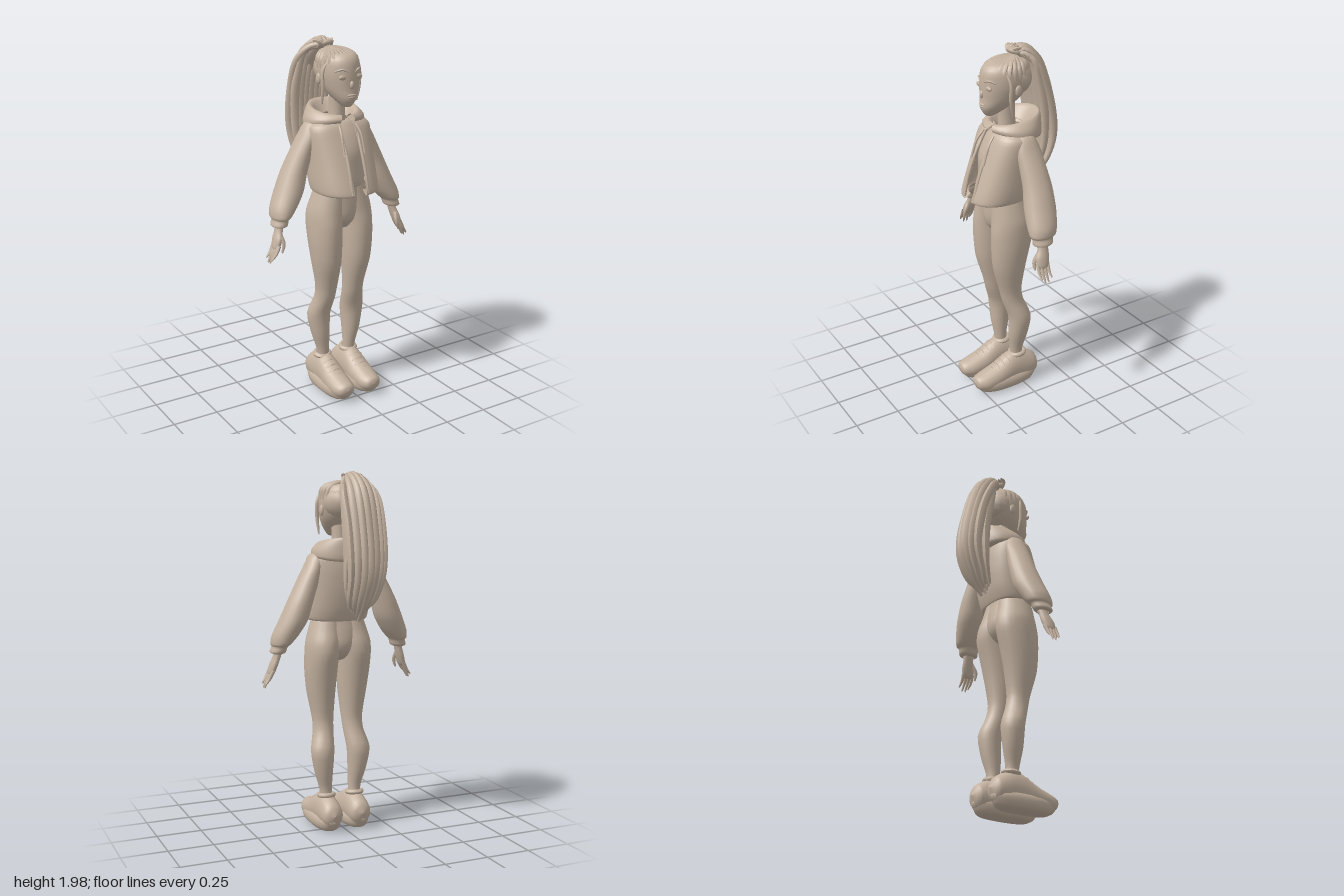
import * as THREE from 'three';

const clay = new THREE.MeshStandardMaterial({ color: 0xc4b2a0, side: THREE.DoubleSide });
clay.name = 'warm clay';
const V = (x, y, z) => new THREE.Vector3(x, y, z);

function add(parent, name, geometry) {
  const mesh = new THREE.Mesh(geometry, clay);
  mesh.name = name;
  parent.add(mesh);
}

// Skin over oval rings. Rows are [position, cx, c2, rx, r2]: horizontal rings
// listed upwards, or upright rings listed front to back when alongZ is set.
// gap leaves an opening (radians) on the +z side.
function loft(rows, { n = 2, sides = 20, steps = 3, alongZ = false, gap = 0 } = {}) {
  const centre = new THREE.CatmullRomCurve3(rows.map(r => V(r[1], r[0], r[2])), false, 'catmullrom', 0.4);
  const radius = new THREE.CatmullRomCurve3(rows.map(r => V(r[3], r[4], 0)), false, 'catmullrom', 0.4);
  const pow = v => Math.sign(v) * Math.abs(v) ** (2 / n);
  const count = (rows.length - 1) * steps, pos = [], index = [];
  const w = gap ? sides + 1 : sides;
  for (let j = 0; j <= count; j++) {
    const c = centre.getPoint(j / count), r = radius.getPoint(j / count);
    for (let i = 0; i < w; i++) {
      const t = Math.PI / 2 + gap / 2 + (i / sides) * (Math.PI * 2 - gap);
      const a = c.x + Math.max(0, r.x) * pow(Math.cos(t)), b = c.z + Math.max(0, r.y) * pow(Math.sin(t));
      if (alongZ) pos.push(a, b, c.y); else pos.push(a, c.y, b);
    }
  }
  for (let j = 0; j < count; j++) for (let i = 0; i < sides; i++) {
    const k = (i + 1) % w, a = j * w + i, b = j * w + k;
    index.push(a, a + w, b, b, a + w, b + w);
  }
  const g = new THREE.BufferGeometry();
  g.setAttribute('position', new THREE.Float32BufferAttribute(pos, 3));
  g.setIndex(index);
  g.computeVertexNormals();
  return g;
}

// Tube along points whose thickness follows taper(u)
function strand(points, radius, taper = () => 1, seg = 20, sides = 6) {
  const curve = new THREE.CatmullRomCurve3(points.map(p => V(...p)));
  const g = new THREE.TubeGeometry(curve, seg, radius, sides);
  const p = g.attributes.position, v = V(0, 0, 0);
  for (let i = 0; i < p.count; i++) {
    const u = Math.floor(i / (sides + 1)) / seg, c = curve.getPointAt(u);
    v.fromBufferAttribute(p, i).sub(c).multiplyScalar(taper(u)).add(c);
    p.setXYZ(i, v.x, v.y, v.z);
  }
  g.computeVertexNormals();
  return g;
}

const ball = (x, y, z, rx, ry, rz) =>
  new THREE.SphereGeometry(1, 14, 10).scale(rx, ry, rz).translate(x, y, z);
const lock = u => 0.3 + 0.75 * Math.sin(Math.PI * Math.min(1, u * 0.93 + 0.04));

// Limbs are made for the left side and mirrored
function addLimbs(parent, s) {
  const side = s > 0 ? 'left' : 'right';
  const m = g => {
    if (s > 0) return g;
    g.scale(-1, 1, 1);
    const ix = g.index.array;
    for (let i = 0; i < ix.length; i += 3) [ix[i], ix[i + 1]] = [ix[i + 1], ix[i]];
    g.computeVertexNormals();
    return g;
  };
  const put = (name, g) => add(parent, side + name, m(g));

  // Leg running up into the waist
  put('Leg', loft([
    [0.16, 0.085, 0.02, 0.034, 0.036], [0.24, 0.088, 0.025, 0.036, 0.037], [0.34, 0.101, 0.02, 0.052, 0.055],
    [0.46, 0.108, 0.016, 0.066, 0.064], [0.56, 0.092, 0.05, 0.058, 0.062], [0.64, 0.088, 0.066, 0.06, 0.065],
    [0.78, 0.094, 0.076, 0.078, 0.094], [0.9, 0.097, 0.068, 0.088, 0.112], [1.0, 0.096, 0.056, 0.091, 0.124],
    [1.07, 0.088, 0.053, 0.095, 0.119], [1.14, 0.074, 0.06, 0.09, 0.106], [1.22, 0.06, 0.065, 0.078, 0.095],
  ], { sides: 24 }));

  // Chunky trainer: upper, sole, ankle roll and laces
  put('Shoe', loft([
    [0.3, 0.086, 0.085, 0, 0], [0.288, 0.086, 0.08, 0.042, 0.034], [0.24, 0.086, 0.075, 0.064, 0.056],
    [0.16, 0.085, 0.088, 0.069, 0.073], [0.08, 0.084, 0.11, 0.066, 0.097], [0.02, 0.084, 0.114, 0.064, 0.103],
    [-0.04, 0.084, 0.108, 0.063, 0.087], [-0.09, 0.084, 0.105, 0.052, 0.058], [-0.113, 0.084, 0.11, 0, 0],
  ], { alongZ: true }));
  put('Sole', loft([
    [0.01, 0.086, 0.095, 0, 0], [0.012, 0.086, 0.092, 0.055, 0.15], [0.04, 0.086, 0.098, 0.074, 0.183],
    [0.075, 0.086, 0.096, 0.072, 0.2], [0.1, 0.086, 0.096, 0.052, 0.17],
  ], { n: 2.5, sides: 24, steps: 2 }));
  put('AnkleRoll', new THREE.TorusGeometry(0.04, 0.014, 8, 18).rotateX(Math.PI / 2 + 0.1).translate(0.086, 0.203, 0.018));
  for (let i = 0; i < 4; i++) {
    const z = 0.095 + i * 0.031, y = 0.194 - i * 0.0165;
    put('Lace', strand([[0.045, y - 0.018, z], [0.085, y, z + 0.003], [0.125, y - 0.018, z]], 0.007, undefined, 8));
  }

  // Balloon sleeve with gathered cuff
  put('Sleeve', loft([
    [1.02, 0.362, 0.035, 0.025, 0.035], [1.03, 0.362, 0.035, 0.043, 0.056], [1.06, 0.352, 0.03, 0.042, 0.06],
    [1.075, 0.348, 0.026, 0.053, 0.076], [1.12, 0.325, 0.018, 0.071, 0.083], [1.2, 0.283, 0.004, 0.078, 0.088],
    [1.3, 0.246, -0.004, 0.07, 0.081], [1.4, 0.204, 0, 0.061, 0.074], [1.48, 0.17, 0.005, 0.05, 0.07],
    [1.55, 0.14, 0.01, 0.04, 0.05], [1.57, 0.12, 0.01, 0.005, 0.01],
  ]));
  put('Hand', loft([
    [0.9, 0.398, 0.054, 0.006, 0.015], [0.915, 0.395, 0.053, 0.018, 0.034], [0.96, 0.381, 0.048, 0.022, 0.04],
    [1.0, 0.368, 0.038, 0.021, 0.031], [1.05, 0.355, 0.032, 0.022, 0.029],
  ], { sides: 12 }));
  for (let i = 0; i < 4; i++) {
    const z = 0.024 + i * 0.02, d = i === 0 || i === 3 ? 0.02 : 0;
    put('Finger', strand([[0.39, 0.93, z], [0.413, 0.885, z + 0.002], [0.436, 0.835 + d, z - 0.002]],
      0.0115, u => 1 - 0.65 * u * u, 8));
  }
  put('Thumb', strand([[0.37, 0.98, 0.065], [0.364, 0.935, 0.088], [0.376, 0.89, 0.09]], 0.013, u => 1 - 0.6 * u * u, 8));

  // Jacket front edge and hood cord
  put('JacketEdge', strand([[0.048, 1.2, 0.268], [0.048, 1.32, 0.237], [0.048, 1.44, 0.19], [0.055, 1.55, 0.125]], 0.009));
  put('HoodCord', strand([[0.05, 1.55, 0.14], [0.06, 1.5, 0.178], [0.063, 1.4, 0.212]], 0.006, undefined, 10));

  // Face features, ears and loose locks
  put('Eye', ball(0.047, 1.805, 0.167, 0.024, 0.013, 0.01));
  put('Eyebrow', strand([[0.02, 1.832, 0.18], [0.048, 1.845, 0.168], [0.08, 1.832, 0.139]], 0.006, lock, 10));
  put('Ear', ball(0.108, 1.785, 0.025, 0.01, 0.03, 0.02));
  put('LooseLock', strand([[0.085, 1.89, 0.09], [0.112, 1.83, 0.075], [0.112, 1.74, 0.075], [0.108, 1.655, 0.06]], 0.01, lock));
}

function addHead(parent) {
  add(parent, 'neck', loft([
    [1.5, 0, 0.03, 0.065, 0.06], [1.56, 0, 0.03, 0.046, 0.05], [1.64, 0, 0.032, 0.042, 0.046], [1.74, 0, 0.035, 0.045, 0.05],
  ]));
  add(parent, 'head', loft([
    [1.642, 0, 0.135, 0, 0], [1.65, 0, 0.13, 0.026, 0.03], [1.69, 0, 0.1, 0.06, 0.085],
    [1.74, 0, 0.065, 0.09, 0.116], [1.81, 0, 0.044, 0.108, 0.138], [1.88, 0, 0.04, 0.103, 0.134],
    [1.918, 0, 0.035, 0.076, 0.104], [1.932, 0, 0.03, 0, 0],
  ], { sides: 28 }));
  add(parent, 'nose', ball(0, 1.765, 0.177, 0.013, 0.022, 0.015));
  add(parent, 'upperLip', ball(0, 1.712, 0.18, 0.026, 0.007, 0.01));
  add(parent, 'lowerLip', ball(0, 1.7, 0.178, 0.022, 0.008, 0.01));

  // Hair pulled back over the scalp to a high tie
  for (let i = 0; i < 17; i++) {
    const a = -0.5 + (i / 16) * (Math.PI + 1), c = Math.cos(a), f = Math.sin(a);
    const y = 1.862 - 0.05 * (1 - Math.max(0, f));
    add(parent, 'scalpLock', strand([[0.1 * c, y, 0.04 + 0.128 * f], [0.09 * c, 1.896, 0.036 + 0.107 * f],
      [0.05 * c - 0.008, 1.924, 0.01 + 0.06 * f], [-0.02, 1.94, -0.025]], 0.016, lock, 12));
  }
  add(parent, 'hairBack', ball(0, 1.83, -0.005, 0.106, 0.1, 0.1));
  add(parent, 'hairTie', new THREE.TorusGeometry(0.03, 0.015, 8, 18).rotateX(1.1).translate(-0.03, 1.95, -0.035));

  // Long ponytail: a soft core with outer and inner locks
  add(parent, 'ponytailCore', loft([
    [1.25, -0.04, -0.135, 0.02, 0.012], [1.4, -0.045, -0.2, 0.07, 0.045], [1.6, -0.048, -0.21, 0.082, 0.045],
    [1.78, -0.045, -0.18, 0.078, 0.045], [1.9, -0.04, -0.125, 0.068, 0.05], [1.975, -0.03, -0.07, 0.03, 0.03],
  ]));
  for (let k = -3; k <= 3; k++) {
    const x = -0.046 + k * 0.03, q = Math.abs(k), e = 0.004 * q * q;
    add(parent, 'outerLock', strand([[-0.02, 1.94, -0.02], [-0.03 + k * 0.016, 1.98 - e, -0.07], [x, 1.91 - e, -0.168 + e],
      [x * 1.05, 1.7, -0.238 + e], [x, 1.46, -0.268 + e], [-0.04 + k * 0.024, 1.31, -0.215 + e],
      [-0.04 + k * 0.012, 1.2 + q * 0.02, -0.14]], 0.025, lock, 28));
    add(parent, 'innerLock', strand([[-0.025, 1.94, -0.03], [-0.035 + k * 0.024, 1.92, -0.1], [x, 1.78, -0.145],
      [x, 1.58, -0.178], [x * 0.9, 1.38, -0.165], [-0.04 + k * 0.015, 1.22 + q * 0.015, -0.118]], 0.024, lock, 24));
  }
  // Short loose ends above the tie
  for (let k = -2; k <= 2; k++)
    add(parent, 'looseEnd', strand([[-0.035, 1.92, -0.02], [-0.04 + k * 0.02, 1.97, -0.02],
      [-0.042 + k * 0.027, 1.988 - 0.008 * Math.abs(k), -0.05]], 0.012, lock, 8));
}

function addTorso(parent) {
  // Middle of the hips and belly between the legs
  add(parent, 'hips', loft([
    [0.955, 0, 0.055, 0, 0], [0.975, 0, 0.055, 0.05, 0.06], [1.02, 0, 0.055, 0.09, 0.1], [1.07, 0, 0.055, 0.11, 0.113],
    [1.14, 0, 0.06, 0.13, 0.109], [1.2, 0, 0.065, 0.135, 0.102], [1.28, 0, 0.062, 0.133, 0.098],
  ], { sides: 28 }));
  add(parent, 'cropTop', loft([
    [1.215, 0, 0.065, 0.12, 0.09], [1.22, 0, 0.065, 0.135, 0.12], [1.32, 0, 0.06, 0.14, 0.125],
    [1.41, 0, 0.055, 0.145, 0.125], [1.5, 0, 0.04, 0.13, 0.1], [1.55, 0, 0.03, 0.08, 0.07], [1.56, 0, 0.03, 0.04, 0.04],
  ], { sides: 28 }));
  // Open cropped jacket with a turned-in hem
  add(parent, 'jacket', loft([
    [1.215, 0, 0.1, 0.14, 0.14], [1.19, 0, 0.105, 0.158, 0.163], [1.2, 0, 0.105, 0.172, 0.172],
    [1.26, 0, 0.086, 0.178, 0.172], [1.36, 0, 0.06, 0.18, 0.161], [1.46, 0, 0.04, 0.184, 0.142],
    [1.53, 0, 0.03, 0.182, 0.122], [1.56, 0, 0.025, 0.15, 0.105], [1.585, 0, 0.02, 0.08, 0.07],
  ], { n: 2.5, sides: 36, gap: 0.3 }));
  // Hood folded down: a band that is tall at the back and low in front
  const hood = loft([
    [0, 0, 0.02, 0.13, 0.11], [0.006, 0, 0, 0.168, 0.147], [0.045, 0, 0, 0.164, 0.153],
    [0.085, 0, -0.005, 0.132, 0.147], [0.08, 0, 0, 0.108, 0.118], [0.03, 0, 0.015, 0.075, 0.075],
  ], { sides: 32, gap: 0.5 });
  const p = hood.attributes.position;
  for (let i = 0; i < p.count; i++) {
    const z = p.getZ(i);
    p.setY(i, 1.535 + 0.18 * z + p.getY(i) * (1 - 4 * z));
  }
  hood.computeVertexNormals();
  add(parent, 'hood', hood);
}

export function createModel() {
  const model = new THREE.Group();
  model.name = 'figure';
  for (const [name, build] of [['torso', addTorso], ['headAndHair', addHead],
    ['leftLimbs', g => addLimbs(g, 1)], ['rightLimbs', g => addLimbs(g, -1)]]) {
    const group = new THREE.Group();
    group.name = name;
    build(group);
    model.add(group);
  }
  return model;
}
